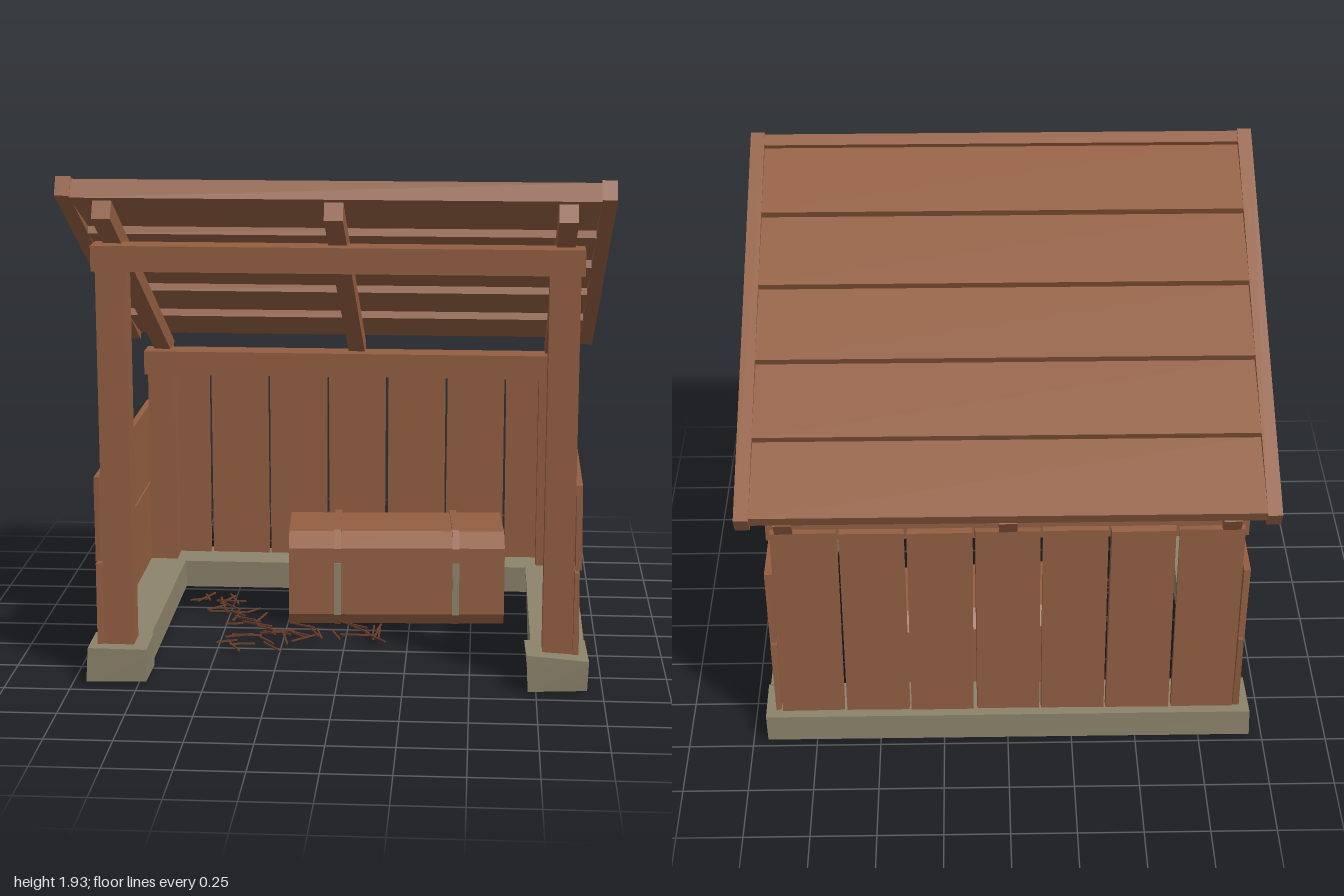
import * as THREE from 'three';

const wood = new THREE.MeshStandardMaterial({ color: 0x925e41 });
wood.name = 'wood';
const stone = new THREE.MeshStandardMaterial({ color: 0x8c836b });
stone.name = 'stone';
const straw = new THREE.MeshStandardMaterial({ color: 0x6b3d28 });
straw.name = 'dry twigs';

export function createModel() {
  const model = new THREE.Group();
  model.name = 'shelter';

  let seed = 7;
  const rand = () => {
    seed = (seed * 16807) % 2147483647;
    return seed / 2147483647;
  };

  // Box given by its limits; wobble nudges each corner for a hand-cut look
  function block(parent, name, mat, [x0, x1], [y0, y1], [z0, z1], wobble = 0) {
    const geo = new THREE.BoxGeometry(x1 - x0, y1 - y0, z1 - z0);
    if (wobble) {
      const corners = Array.from({ length: 24 }, () => (rand() - 0.5) * 2 * wobble);
      const p = geo.attributes.position;
      for (let i = 0; i < p.count; i++) {
        const k = 3 * ((p.getX(i) > 0 ? 1 : 0) + (p.getY(i) > 0 ? 2 : 0) + (p.getZ(i) > 0 ? 4 : 0));
        p.setXYZ(i, p.getX(i) + corners[k], p.getY(i) + corners[k + 1], p.getZ(i) + corners[k + 2]);
      }
      geo.computeVertexNormals();
    }
    const mesh = new THREE.Mesh(geo, mat);
    mesh.name = name;
    mesh.position.set((x0 + x1) / 2, (y0 + y1) / 2, (z0 + z1) / 2);
    parent.add(mesh);
    return mesh;
  }
  const mirror = (s, a, b) => (s > 0 ? [a, b] : [-b, -a]);

  // Stone footing, open at the front
  block(model, 'backFooting', stone, [-0.945, 0.945], [0, 0.115], [-0.725, -0.52], 0.005);
  for (const s of [-1, 1]) {
    block(model, 'sideFooting', stone, mirror(s, 0.73, 0.935), [0, 0.122], [-0.53, 0.49], 0.006);
    block(model, 'frontFooting', stone, mirror(s, 0.715, 0.945), [0, 0.133], [0.48, 0.685], 0.008);
  }

  // Posts, beams and side boards
  for (const s of [-1, 1]) {
    block(model, 'frontPost', wood, mirror(s, 0.772, 0.885), [0.11, 1.57], [0.525, 0.63]);
    block(model, 'backPost', wood, mirror(s, 0.772, 0.885), [0.1, 0.935], [-0.65, -0.545]);
    block(model, 'lowerSideBoard', wood, mirror(s, 0.886, 0.908), [0.12, 0.45], [-0.685, 0.633], 0.003);
    block(model, 'upperSideBoard', wood, mirror(s, 0.888, 0.912), [0.461, 0.787], [-0.685, 0.633], 0.003);
  }
  block(model, 'frontBeam', wood, [-0.9, 0.9], [1.565, 1.66], [0.52, 0.635]);
  block(model, 'backBeam', wood, [-0.9, 0.9], [0.93, 1.03], [-0.655, -0.54]);

  // Back wall planks
  for (let i = 0; i < 7; i++) {
    const x = -0.886 + i * 0.2531;
    block(model, 'backPlank', wood, [x + 0.005, x + 0.248], [0.112, 0.978], [-0.685, -0.657], 0.003);
  }

  // Sloping roof: local z runs up the slope, local y points out of it
  const roof = new THREE.Group();
  roof.name = 'roof';
  roof.position.set(0, 1.5175, -0.025);
  roof.rotation.x = -0.495;
  model.add(roof);
  for (const x of [-0.83, 0, 0.83]) {
    block(roof, 'rafter', wood, [x - 0.034, x + 0.034], [-0.156, -0.086], [-0.84, 0.843]);
  }
  for (const s of [-1, 1]) {
    block(roof, 'edgeBoard', wood, mirror(s, 0.945, 1), [-0.075, 0], [-0.858, 0.858]);
  }
  for (let i = 0; i < 5; i++) {
    const z = -0.852 + i * 0.331;
    const plank = block(roof, 'roofPlank', wood, [-0.947, 0.947], [-0.062, -0.014], [z, z + 0.335]);
    plank.rotation.x = 0.09;
  }
  block(roof, 'ridgeBoard', wood, [-0.947, 0.947], [-0.08, -0.008], [0.8, 0.853]);

  // Strapped chest: chamfered cross-section extruded sideways
  const chest = new THREE.Group();
  chest.name = 'chest';
  chest.position.set(0.186, 0, -0.25);
  chest.rotation.y = 0.055;
  model.add(chest);
  function prism(name, width, grow, x) {
    const d = 0.21 + grow, top = 0.383 + grow;
    const pts = [[-d + 0.03, 0.002], [d - 0.03, 0.002], [d, 0.05], [d, 0.33], [d - 0.07, top],
      [-d + 0.07, top], [-d, 0.33], [-d, 0.05]];
    const shape = new THREE.Shape(pts.map(([a, b]) => new THREE.Vector2(a, b)));
    const geo = new THREE.ExtrudeGeometry(shape, { depth: width, bevelEnabled: false });
    geo.translate(0, 0, -width / 2);
    geo.rotateY(-Math.PI / 2);
    const mesh = new THREE.Mesh(geo, wood);
    mesh.name = name;
    mesh.position.x = x;
    chest.add(mesh);
  }
  prism('chestBody', 0.876, 0, 0);
  for (const x of [-0.24, 0.24]) {
    prism('strap', 0.028, 0.009, x);
    for (const s of [-1, 1]) {
      block(chest, 'strapPlate', stone, [x - 0.014, x + 0.014], [0.05, 0.27], mirror(s, 0.218, 0.222));
    }
  }

  // Loose twigs lying in heaps on the ground
  const heaps = [[-0.37, 0.24], [0.06, 0.1], [-0.55, -0.25], [-0.2, 0.12], [-0.42, -0.05]];
  for (const [cx, cz] of heaps) {
    for (let i = 0; i < 9; i++) {
      const twig = new THREE.Mesh(new THREE.BoxGeometry(0.07 + rand() * 0.09, 0.006, 0.007), straw);
      twig.name = 'twig';
      twig.position.set(cx + (rand() - 0.5) * 0.2, 0.014 + rand() * 0.018, cz + (rand() - 0.5) * 0.18);
      twig.rotation.set(0, rand() * Math.PI, (rand() - 0.5) * 0.2);
      model.add(twig);
    }
  }
  return model;
}
